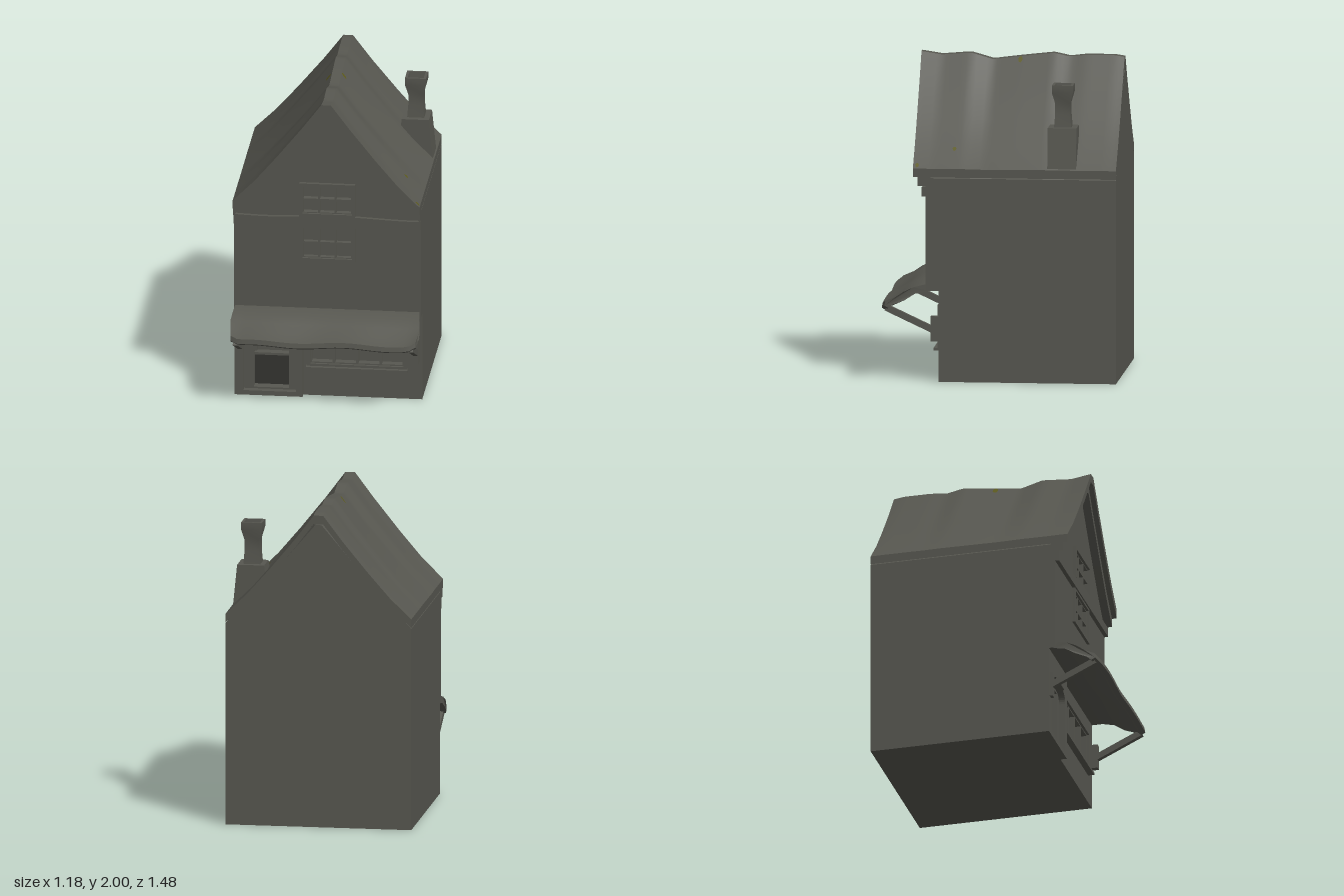
import * as THREE from 'three';
import { toCreasedNormals } from 'three/addons/utils/BufferGeometryUtils.js';

export function createModel() {
  const house = new THREE.Group();
  house.name = 'house';
  const mat = (name, color) => Object.assign(new THREE.MeshStandardMaterial({ color }), { name });
  const stone = mat('stone', 0x575750);
  const dark = mat('darkDoor', 0x343431);
  const moss = mat('moss', 0x5c5a1c);

  const add = (name, geo, material = stone, parent = house) => {
    const mesh = new THREE.Mesh(geo, material);
    mesh.name = name;
    parent.add(mesh);
    return mesh;
  };
  const warp = (geo, rule) => {
    const p = geo.attributes.position, v = new THREE.Vector3();
    for (let i = 0; i < p.count; i++) {
      rule(v.fromBufferAttribute(p, i));
      p.setXYZ(i, v.x, v.y, v.z);
    }
    return toCreasedNormals(geo, 0.6);
  };
  // box given by its limits on each axis
  const box = (name, x0, x1, y0, y1, z0, z1, material, parent) =>
    add(name, new THREE.BoxGeometry(x1 - x0, y1 - y0, z1 - z0)
      .translate((x0 + x1) / 2, (y0 + y1) / 2, (z0 + z1) / 2), material, parent);
  const shapeOf = (pts) => new THREE.Shape(pts.map(([x, y]) => new THREE.Vector2(x, y)));
  const rect = (x0, x1, y0, y1) => shapeOf([[x0, y0], [x1, y0], [x1, y1], [x0, y1]]);
  const slab = (shape, z0, z1, steps = 1, holes = []) => {
    shape.holes.push(...holes);
    return new THREE.ExtrudeGeometry(shape, { depth: z1 - z0, steps, bevelEnabled: false, curveSegments: 8 })
      .translate(0, 0, z0);
  };

  const W = 0.585, BACK = -0.74;

  // main walls: upper storey overhangs the ground floor
  const gable = () => shapeOf([[-W, 0.57], [W, 0.57], [W, 1.28], [0.3, 1.59], [0.02, 1.92], [-0.02, 1.92], [-0.3, 1.59], [-W, 1.28]]);
  add('upperWalls', slab(gable(), BACK, 0.41));
  add('upperFront', slab(gable(), 0.41, 0.45, 1,
    [rect(-0.15, 0.15, 0.95, 1.15), rect(-0.15, 0.15, 1.25, 1.43)]));
  box('lowerWalls', -W, W, 0, 0.57, BACK, 0.28);
  add('shopFront', slab(rect(-0.16, W, 0, 0.57), 0.28, 0.37, 1, [rect(-0.12, 0.48, 0.205, 0.46)]));

  // roof with a sagging ridge
  const ridge = [[-0.74, -0.02], [-0.68, -0.01], [-0.5, -0.01], [-0.4, -0.022], [-0.3, 0], [-0.1, -0.022],
    [0.08, -0.045], [0.22, -0.005], [0.4, -0.02], [0.53, 0]];
  const sag = (z) => {
    let i = 0;
    while (i < ridge.length - 2 && z > ridge[i + 1][0]) i++;
    const [a, b] = [ridge[i], ridge[i + 1]];
    return THREE.MathUtils.lerp(a[1], b[1], THREE.MathUtils.clamp((z - a[0]) / (b[0] - a[0]), 0, 1));
  };
  const slope = [[0.03, 2], [0.15, 1.84], [0.31, 1.64], [0.45, 1.475], [W, 1.34]];
  const chevron = (top, bottom) => {
    const right = slope.map(([x, y]) => [x, y - top]);
    const under = slope.map(([x, y]) => [x, y - bottom]);
    const flip = (a) => a.map(([x, y]) => [-x, y]);
    return shapeOf([...flip(right).reverse(), ...right, ...under.reverse(), ...flip(under.reverse())].reverse());
  };
  const sagRule = (v) => { v.y += sag(v.z) * THREE.MathUtils.clamp((v.y - 1.3) / 0.6, 0, 1); };
  add('roof', warp(slab(chevron(0, 0.055), BACK, 0.53, 40), sagRule));
  add('bargeBoard', slab(chevron(0.03, 0.11), 0.42, 0.5));

  // small moss patches lying on the roof
  const roofY = (x, z) => {
    const a = Math.abs(x);
    let i = 0;
    while (i < slope.length - 2 && a > slope[i + 1][0]) i++;
    const [p, q] = [slope[i], slope[i + 1]];
    const y = p[1] + (q[1] - p[1]) * (a - p[0]) / (q[0] - p[0]);
    return y + sag(z) * THREE.MathUtils.clamp((y - 1.3) / 0.6, 0, 1);
  };
  for (const [x, z, r] of [[-0.052, -0.08, 0.017], [0.046, -0.09, 0.014], [0.475, 0.28, 0.012], [0.57, 0.505, 0.012]]) {
    const patch = new THREE.CircleGeometry(r, 7).rotateX(-Math.PI / 2).translate(x, 0, z);
    add('mossPatch', warp(patch, (v) => { v.y = roofY(v.x, v.z) + 0.004; }), moss);
  }

  // beam across the front below the gable
  const beam = new THREE.BoxGeometry(2 * W, 0.065, 0.08, 16, 1, 1).translate(0, 1.197, 0.435);
  add('gableBeam', warp(beam, (v) => { v.y += v.y > 1.2 ? 0.007 * Math.sin(v.x * 7 + 1) : 0; }));

  // framed windows with a grid of panes
  const windowFrame = (name, x0, x1, y0, y1, back, front, cols, rows, border, bar) => {
    const group = new THREE.Group();
    group.name = name;
    house.add(group);
    add('casing', slab(rect(x0, x1, y0, y1), back, front, 1,
      [rect(x0 + border, x1 - border, y0 + border, y1 - border)]), stone, group);
    const w = (x1 - x0 - 2 * border) / cols, h = (y1 - y0 - 2 * border) / rows;
    const panes = [];
    for (let i = 0; i < cols; i++) for (let j = 0; j < rows; j++) {
      const x = x0 + border + i * w, y = y0 + border + j * h;
      panes.push(rect(x + bar, x + w - bar, y + bar, y + h - bar));
    }
    add('glazingBars', slab(rect(x0 + 0.01, x1 - 0.01, y0 + 0.01, y1 - 0.01), back, front - 0.016, 1, panes), stone, group);
  };
  windowFrame('gableWindow', -0.175, 0.175, 1.23, 1.45, 0.42, 0.475, 3, 2, 0.02, 0.006);
  windowFrame('upperWindow', -0.175, 0.175, 0.93, 1.17, 0.42, 0.467, 3, 2, 0.02, 0.006);
  windowFrame('shopWindow', -0.135, 0.49, 0.195, 0.47, 0.32, 0.385, 4, 1, 0.02, 0.008);
  box('shopSill', -0.14, 0.495, 0.185, 0.2, 0.36, 0.41);

  // projecting porch with an arched doorway
  const arch = shapeOf([[-0.53, 0.03], [-0.2, 0.03]]);
  arch.lineTo(-0.2, 0.36);
  arch.quadraticCurveTo(-0.2, 0.42, -0.26, 0.425);
  arch.lineTo(-0.47, 0.425);
  arch.quadraticCurveTo(-0.53, 0.42, -0.53, 0.36);
  add('porch', slab(rect(-W, -0.16, 0, 0.57), 0.28, 0.41, 1, [arch]));
  add('doorFrame', slab(rect(-0.54, -0.19, 0.02, 0.43), 0.28, 0.37, 1, [rect(-0.47, -0.25, 0.04, 0.41)]));
  box('lowerDoor', -0.47, -0.25, 0.04, 0.24, 0.28, 0.31, dark);
  box('doorRail', -0.47, -0.25, 0.24, 0.255, 0.28, 0.33);
  box('doorTopRail', -0.47, -0.25, 0.395, 0.41, 0.28, 0.33);
  box('doorPost', -0.468, -0.447, 0.29, 0.4, 0.3, 0.39);
  add('doorPediment', slab(shapeOf([[-0.46, 0.425], [-0.26, 0.425], [-0.31, 0.445], [-0.36, 0.455], [-0.41, 0.445]]), 0.4, 0.422));

  // cloth awning over the shop front
  const profile = shapeOf([[0.43, 0.57], [0.52, 0.55], [0.59, 0.505], [0.68, 0.465], [0.71, 0.44], [0.735, 0.455],
    [0.73, 0.485], [0.66, 0.515], [0.6, 0.555], [0.53, 0.59], [0.45, 0.612], [0.43, 0.612]]);
  const awning = slab(profile, -W, W, 30).rotateY(-Math.PI / 2);
  add('awning', warp(awning, (v) => {
    const t = THREE.MathUtils.clamp((v.z - 0.5) / 0.2, 0, 1);
    const end = Math.max(0, (Math.abs(v.x) - 0.52) / 0.065);
    v.y += t * (0.007 * Math.sin(v.x * 11) + 0.018 * end * end);
    v.z -= t * (0.004 + 0.005 * Math.sin(v.x * 10 + 1) + 0.02 * end * end);
    v.x *= 1 + 0.012 * Math.sin(v.z * 24);
  }));

  // awning brackets
  for (const x of [-0.55, 0.55]) {
    box('bracketPlate', x - 0.018, x + 0.018, 0.25, 0.41, 0.36, x < 0 ? 0.43 : 0.42);
    const [z0, y0, z1, y1] = [0.39, 0.315, 0.7, 0.46];
    const strut = add('awningStrut', new THREE.BoxGeometry(0.03, 0.04, Math.hypot(z1 - z0, y1 - y0)));
    strut.position.set(x, (y0 + y1) / 2, (z0 + z1) / 2);
    strut.rotation.x = -Math.atan2(y1 - y0, z1 - z0);
  }

  // chimney: tapered base and square flared stack with an open top
  const base = new THREE.BoxGeometry(0.23, 0.3, 0.18).translate(0.467, 1.45, -0.4);
  add('chimneyBase', warp(base, (v) => {
    if (v.y > 1.5) v.x = v.x > 0.467 ? 0.552 : 0.382;
    else v.x = v.x > 0.467 ? 0.582 : 0.34;
  }));
  const stackPts = [[0.055, 1.58], [0.047, 1.68], [0.047, 1.75], [0.066, 1.82], [0.066, 1.865], [0.05, 1.865], [0.042, 1.78], [0, 1.78]];
  const stack = new THREE.LatheGeometry(stackPts.map(([r, y]) => new THREE.Vector2(r * Math.SQRT2, y)), 4)
    .rotateY(Math.PI / 4).translate(0.465, 0, -0.4);
  add('chimneyStack', toCreasedNormals(stack, 0.5));

  return house;
}
